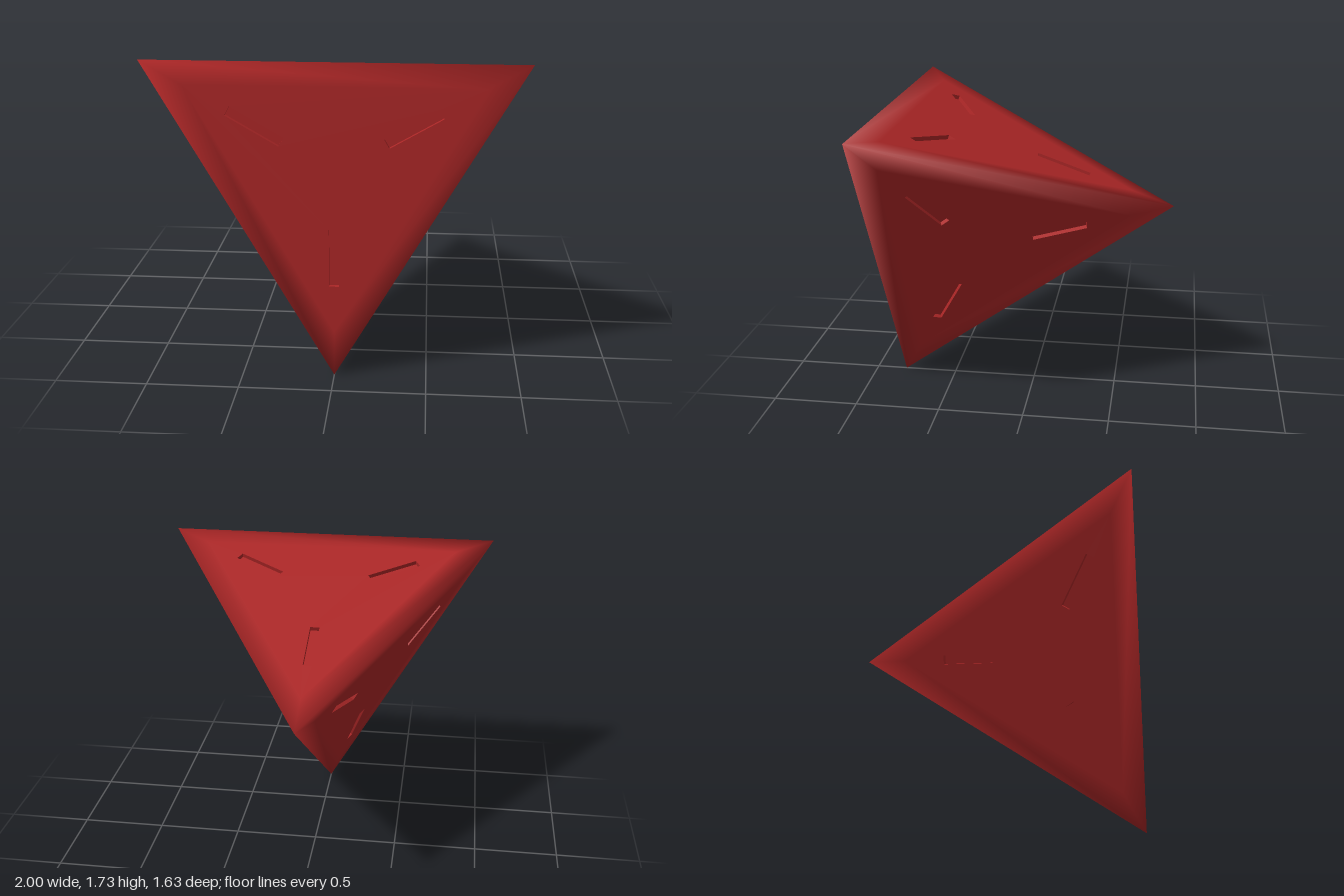
import * as THREE from 'three';

const R = 2 / Math.sqrt(3);       // face centre to corner, for an edge of 2
const CENTRE = 1 / Math.sqrt(6);  // face centre to the middle of the solid
const INSET = 0.775;              // size of the flat panel within a face
const DEPTH = 0.025;              // depth of the engraved slots

const turns = [0, 1, 2].map(i => Math.PI / 2 + i * Math.PI * 2 / 3);
const ring = r => turns.map(a => new THREE.Vector2(r * Math.cos(a), r * Math.sin(a)));

// Slot outline pointing from the face centre to one corner
function slot(angle) {
  const w = 0.027, from = 0.315, to = 0.635;
  const pts = [[from, -w], [to, -w], [to, w], [from, w]]
    .map(([x, y]) => new THREE.Vector2(x, y).rotateAround(new THREE.Vector2(), angle));
  return new THREE.Path(pts);
}

// Flat panel with a slot near each corner
function panelGeometry() {
  const shape = new THREE.Shape(ring(R * INSET));
  shape.holes = turns.map(slot);
  return new THREE.ExtrudeGeometry(shape, { depth: DEPTH, bevelEnabled: false })
    .translate(0, 0, -DEPTH);
}

// Border around the panel, with normals that blend softly over the edges
function borderGeometry() {
  const inner = ring(R * INSET), outer = ring(R);
  const position = [], normal = [], index = [];
  for (let i = 0; i < 3; i++) {
    const n = new THREE.Vector3(outer[i].x, outer[i].y, CENTRE).normalize();
    position.push(inner[i].x, inner[i].y, 0, outer[i].x, outer[i].y, 0);
    normal.push(0, 0, 1, n.x, n.y, n.z);
    const a = i * 2, b = ((i + 1) % 3) * 2;
    index.push(a, a + 1, b + 1, a, b + 1, b);
  }
  const g = new THREE.BufferGeometry();
  g.setAttribute('position', new THREE.Float32BufferAttribute(position, 3));
  g.setAttribute('normal', new THREE.Float32BufferAttribute(normal, 3));
  g.setIndex(index);
  return g;
}

export function createModel() {
  const model = new THREE.Group();
  model.name = 'fourSidedDie';
  const red = new THREE.MeshStandardMaterial({ color: 0xaa2626 });

  const parts = {
    panel: panelGeometry(),
    border: borderGeometry(),
    slotFloor: new THREE.ShapeGeometry(new THREE.Shape(ring(R * INSET))).translate(0, 0, -DEPTH),
  };

  // Corners of the solid, standing on one point with a face to the front
  const d = Math.sqrt(2 / 3), h = Math.sqrt(3);
  const bottom = new THREE.Vector3(0, 0, d);
  const right = new THREE.Vector3(-1, h, d);
  const left = new THREE.Vector3(1, h, d);
  const back = new THREE.Vector3(0, h * 2 / 3, -d);

  const faces = {
    frontFace: [bottom, left, right],
    topFace: [back, right, left],
    leftFace: [bottom, back, left],
    rightFace: [bottom, right, back],
  };

  for (const [name, [a, b, c]] of Object.entries(faces)) {
    const face = new THREE.Group();
    face.name = name;
    const centre = a.clone().add(b).add(c).divideScalar(3);
    const y = a.clone().sub(centre).normalize();
    const z = b.clone().sub(a).cross(c.clone().sub(a)).normalize();
    const x = y.clone().cross(z);
    face.quaternion.setFromRotationMatrix(new THREE.Matrix4().makeBasis(x, y, z));
    face.position.copy(centre);
    for (const [part, geometry] of Object.entries(parts)) {
      const mesh = new THREE.Mesh(geometry, red);
      mesh.name = part;
      face.add(mesh);
    }
    model.add(face);
  }
  return model;
}
